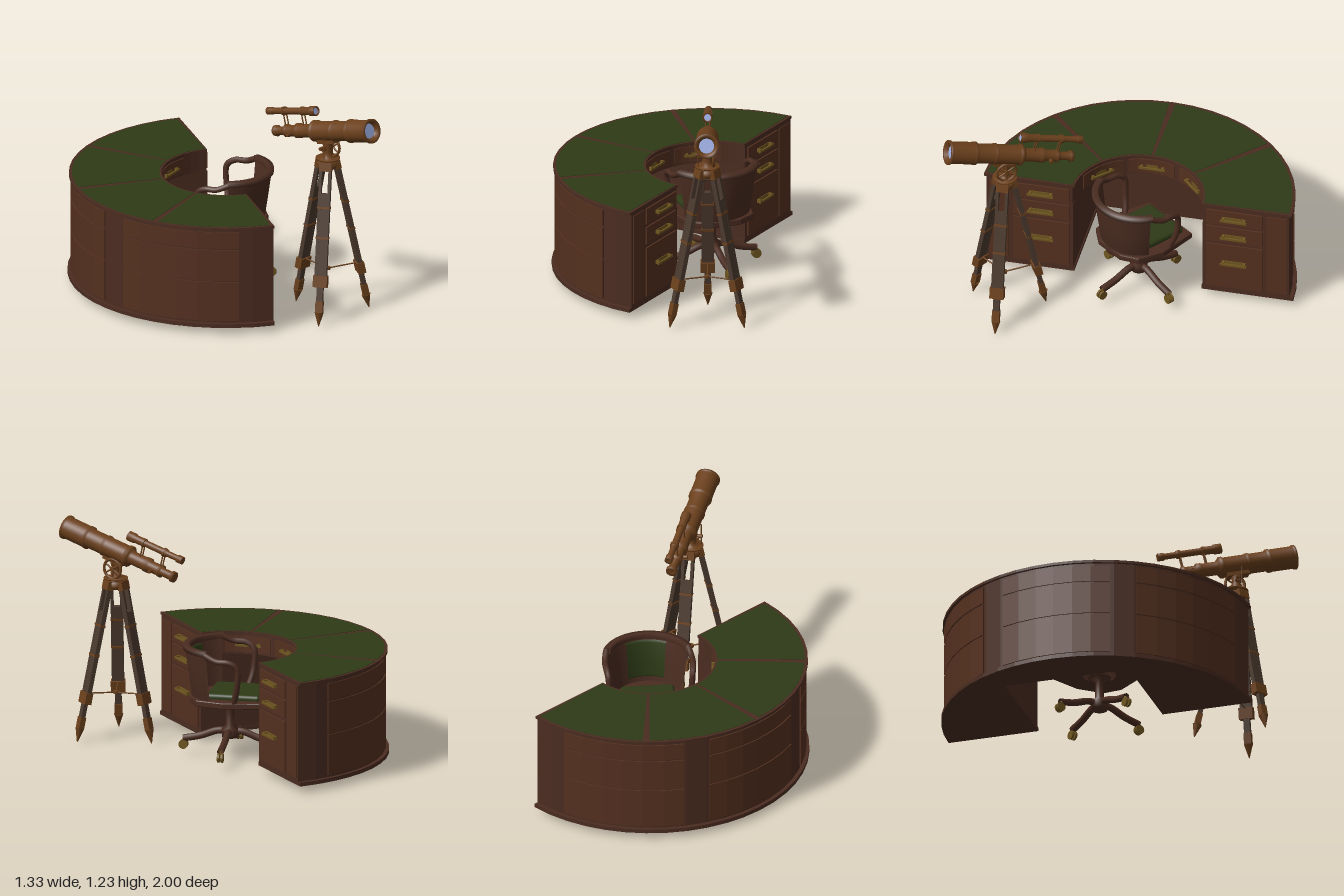
import * as THREE from 'three';
import { RoundedBoxGeometry } from 'three/addons/geometries/RoundedBoxGeometry.js';

const mat = (color) => new THREE.MeshStandardMaterial({ color, side: THREE.DoubleSide });
const WOOD = mat(0x4a2c20), PANEL = mat(0x54301f), GREEN = mat(0x2d3a16), BRASS = mat(0x6f5620);
const COPPER = mat(0x6b401c), GLASS = mat(0x9fb2e6), LEGWOOD = mat(0x4b3a2e);
const DEG = Math.PI / 180;

function add(parent, name, geometry, material, x = 0, y = 0, z = 0) {
  const m = new THREE.Mesh(geometry, material);
  m.name = name;
  m.position.set(x, y, z);
  parent.add(m);
  return m;
}
function group(parent, name, x = 0, y = 0, z = 0, ry = 0) {
  const g = new THREE.Group();
  g.name = name;
  g.position.set(x, y, z);
  g.rotation.y = ry;
  parent.add(g);
  return g;
}
const box = (w, h, d) => new THREE.BoxGeometry(w, h, d);
const cyl = (r0, r1, h, n = 20) => new THREE.CylinderGeometry(r0, r1, h, n);
const lathe = (pts, n = 32, start = 0, len = Math.PI * 2) =>
  new THREE.LatheGeometry(pts.map((p) => new THREE.Vector2(...p)), n, start, len);
const tube = (pts, r, n = 24) =>
  new THREE.TubeGeometry(new THREE.CatmullRomCurve3(pts.map((p) => new THREE.Vector3(...p))), n, r, 8);

// Thin rod between two points
function rod(parent, name, a, b, r, material) {
  const p = new THREE.Vector3(...a), q = new THREE.Vector3(...b), d = q.clone().sub(p);
  const m = add(parent, name, cyl(r, r, d.length(), 10), material);
  m.position.copy(p).add(q).multiplyScalar(0.5);
  m.quaternion.setFromUnitVectors(new THREE.Vector3(0, 1, 0), d.normalize());
}

// Plan points on an arc; angle 0 is the middle of the desk's curved back
function arc(r, a0, a1) {
  const n = Math.max(2, Math.round(Math.abs(a1 - a0) / 7.5)), pts = [];
  for (let i = 0; i <= n; i++) {
    const t = (90 + a0 + (a1 - a0) * i / n) * DEG;
    pts.push(new THREE.Vector2(r * Math.cos(t), r * Math.sin(t)));
  }
  return pts;
}
// Plan outline raised from y0 to y1
function raise(pts, y0, y1) {
  const g = new THREE.ExtrudeGeometry(new THREE.Shape(pts), { depth: y1 - y0, bevelEnabled: false });
  return g.rotateX(-Math.PI / 2).translate(0, y0, 0);
}
const sector = (r0, r1, a0, a1, y0, y1) => raise([...arc(r1, a0, a1), ...arc(r0, a1, a0)], y0, y1);
const withKneehole = (r, w, depth, y0, y1) => raise([...arc(r, -90, 90),
  ...[[-w, 0], [-w, depth], [w, depth], [w, 0]].map((p) => new THREE.Vector2(...p))], y0, y1);

function handle(parent, x, y, z) {
  const h = group(parent, 'drawerHandle', x, y, z);
  add(h, 'handlePlate', box(0.13, 0.022, 0.004), BRASS, 0, 0, 0.002);
  add(h, 'handleBar', box(0.15, 0.012, 0.01), BRASS, 0, -0.003, 0.022);
  for (const s of [-1, 1]) add(h, 'handlePost', box(0.014, 0.018, 0.024), BRASS, s * 0.06, 0, 0.012);
}

function buildDesk(root) {
  const d = group(root, 'desk', 0.215, 0, -0.115, 60 * DEG);
  add(d, 'plinth', withKneehole(0.885, 0.362, 0.62, 0.04, 0.062), WOOD);
  add(d, 'pedestalsAndBack', withKneehole(0.862, 0.368, 0.62, 0.06, 0.5), WOOD);
  add(d, 'drawerBand', sector(0.372, 0.862, -90, 90, 0.5, 0.615), WOOD);
  add(d, 'top', sector(0.362, 0.877, -90, 90, 0.615, 0.63), WOOD);
  // Leather inlays between wooden strips
  for (let i = 0; i < 4; i++)
    add(d, 'leatherInlay', sector(0.374, 0.86, -88.8 + i * 45, -46.2 + i * 45, 0.63, 0.632), GREEN);
  // Panels on the curved back
  for (const a of [-54, 0, 54]) {
    const half = a === 0 ? 21 : 23;
    for (const [y0, y1] of [[0.075, 0.305], [0.312, 0.495], [0.505, 0.6]])
      add(d, 'backPanel', sector(0.85, 0.869, a - half, a + half, y0, y1), PANEL);
  }
  // Pedestal drawers on the straight ends
  for (const s of [-1, 1]) {
    for (const [y0, y1, hy] of [[0.08, 0.37, 0.255], [0.39, 0.492, 0.435], [0.508, 0.602, 0.555]]) {
      add(d, 'pedestalDrawer', box(0.32, y1 - y0, 0.014), PANEL, s * 0.55, (y0 + y1) / 2, 0.003);
      handle(d, s * 0.55, hy, 0.01);
    }
    add(d, 'endStile', box(0.11, 0.522, 0.01), PANEL, s * 0.79, 0.341, 0.001);
  }
  // Drawers round the inner curve
  for (const a of [-47, 0, 47]) {
    add(d, 'kneeholeDrawer', sector(0.366, 0.38, a - 21, a + 21, 0.512, 0.602), PANEL);
    handle(group(d, 'handlePivot', 0, 0, 0, a * DEG), 0, 0.557, -0.368);
  }
}

function buildChair(root) {
  const c = group(root, 'chair', 0.22, 0, -0.12, 22 * DEG);
  // Four-legged swivel base on casters
  for (let i = 0; i < 4; i++) {
    const l = group(c, 'baseLeg', 0, 0, 0, i * Math.PI / 2);
    const curve = tube([[0, 0.155, 0], [0, 0.155, 0.07], [0, 0.12, 0.17], [0, 0.1, 0.265]], 0.02);
    add(l, 'legBar', curve, WOOD);
    add(l, 'casterStem', cyl(0.008, 0.008, 0.04, 8), BRASS, 0, 0.085, 0.255);
    for (const s of [-1, 1])
      add(l, 'casterWheel', cyl(0.026, 0.026, 0.012, 16).rotateZ(Math.PI / 2), BRASS, s * 0.01, 0.066, 0.265);
  }
  add(c, 'column', lathe([[0, 0.12], [0.045, 0.12], [0.05, 0.17], [0.025, 0.19], [0.022, 0.29], [0.06, 0.31], [0.1, 0.335], [0, 0.335]]), WOOD);
  // Seat with cushion
  const seat = new THREE.Shape([[-0.18, 0.22], [0.18, 0.22], [0.215, 0], [0.18, -0.15], [0.09, -0.205],
    [-0.09, -0.205], [-0.18, -0.15], [-0.215, 0]].map((p) => new THREE.Vector2(...p)));
  add(c, 'seatFrame', new THREE.ExtrudeGeometry(seat, { depth: 0.025, bevelSize: 0.008, bevelThickness: 0.006, bevelSegments: 2 })
    .rotateX(-Math.PI / 2), WOOD, 0, 0.338, 0);
  add(c, 'seatCushion', new RoundedBoxGeometry(0.3, 0.045, 0.31, 4, 0.02), GREEN, 0, 0.377, -0.045);
  // Wrapped backrest with padded inside
  add(c, 'backrest', lathe([[0.195, 0.365], [0.212, 0.365], [0.232, 0.5], [0.252, 0.645], [0.245, 0.657], [0.228, 0.65], [0.212, 0.5], [0.195, 0.365]],
    28, -1.15, 2.3), WOOD);
  add(c, 'backPad', lathe([[0.195, 0.4], [0.19, 0.41], [0.198, 0.5], [0.21, 0.61], [0.225, 0.62]], 16, -0.55, 1.1), GREEN);
  add(c, 'backTopRail', lathe([[0.225, 0.625], [0.262, 0.63], [0.262, 0.655], [0.23, 0.66], [0.222, 0.645], [0.225, 0.625]], 28, -1.2, 2.4), WOOD);
  for (const s of [-1, 1]) {
    const pts = [[0.195, 0.36, -0.06], [0.225, 0.46, -0.085], [0.235, 0.575, -0.085], [0.242, 0.605, -0.04], [0.243, 0.61, 0.03], [0.23, 0.64, 0.1]];
    add(c, 'armrest', tube(pts.map(([x, y, z]) => [s * x, y, z]), 0.017, 36), WOOD);
  }
}

function buildTelescope(root) {
  const t = group(root, 'telescope', 0.205, 0, 0.655);
  // Tripod
  for (const a of [60, -60, 180]) {
    const pivot = group(t, 'tripodLeg', 0, 0, 0, a * DEG);
    const leg = group(pivot, 'legParts', 0, 0.9, 0.045);
    leg.rotation.x = -0.213;
    for (const s of [-1, 1]) add(leg, 'legRail', box(0.016, 0.66, 0.026), LEGWOOD, s * 0.026, -0.34, 0);
    add(leg, 'legSlider', box(0.036, 0.66, 0.024), LEGWOOD, 0, -0.5, 0);
    add(leg, 'legHinge', box(0.07, 0.05, 0.034), COPPER, 0, -0.02, 0);
    for (const y of [-0.42, -0.25]) add(leg, 'legBand', box(0.072, 0.012, 0.032), COPPER, 0, y, 0);
    add(leg, 'legClamp', box(0.08, 0.065, 0.042), COPPER, 0, -0.665, 0);
    add(leg, 'footSocket', box(0.042, 0.07, 0.032), COPPER, 0, -0.81, 0);
    add(leg, 'footSpike', cyl(0.026, 0.002, 0.08, 8), COPPER, 0, -0.88, 0);
    rod(pivot, 'spreader', [0, 0.26, 0], [0, 0.275, 0.18], 0.004, COPPER);
  }
  add(t, 'spreaderHub', cyl(0.014, 0.014, 0.016), COPPER, 0, 0.26, 0);
  // Head and mount
  add(t, 'tripodHead', lathe([[0, 0.86], [0.05, 0.86], [0.056, 0.875], [0.056, 0.9], [0.03, 0.91], [0.068, 0.914], [0.068, 0.92],
    [0.025, 0.922], [0.03, 0.95], [0.022, 0.97], [0.03, 1.0], [0.03, 1.06]]), COPPER);
  add(t, 'gearWheel', new THREE.TorusGeometry(0.055, 0.008, 8, 32).rotateY(Math.PI / 2), COPPER, 0.035, 0.975, 0);
  for (let i = 0; i < 3; i++) {
    const c = 0.055 * Math.cos(i * 60 * DEG), s = 0.055 * Math.sin(i * 60 * DEG);
    rod(t, 'gearSpoke', [0.035, 0.975 - c, -s], [0.035, 0.975 + c, s], 0.005, COPPER);
  }
  rod(t, 'gearAxle', [-0.045, 0.975, 0], [0.045, 0.975, 0], 0.012, COPPER);
  rod(t, 'controlRod', [-0.052, 0.92, 0.02], [-0.052, 1.05, 0.02], 0.003, COPPER);
  rod(t, 'controlKnob', [-0.065, 0.985, 0.0], [-0.02, 0.985, 0.0], 0.01, COPPER);

  // Main tube, running along local y from eyepiece to objective
  const o = group(t, 'opticalTube', 0, 0.975, -0.395);
  o.rotation.x = 1.321;
  add(o, 'mainTube', lathe([[0, 0.008], [0.02, 0.008], [0.03, 0], [0.032, 0.02], [0.024, 0.025], [0.024, 0.085], [0.036, 0.088], [0.036, 0.105],
    [0.032, 0.11], [0.032, 0.17], [0.042, 0.173], [0.042, 0.2], [0.038, 0.205], [0.038, 0.29], [0.05, 0.3], [0.061, 0.31], [0.061, 0.325],
    [0.055, 0.33], [0.055, 0.46], [0.06, 0.463], [0.06, 0.478], [0.056, 0.481], [0.056, 0.58], [0.066, 0.584], [0.066, 0.6], [0.063, 0.604],
    [0.063, 0.735], [0.069, 0.738], [0.069, 0.75], [0.054, 0.75], [0.042, 0.73], [0.042, 0.72]], 36), COPPER);
  add(o, 'objectiveLens', cyl(0.044, 0.044, 0.006, 32), GLASS, 0, 0.724, 0);
  add(o, 'saddle', box(0.06, 0.13, 0.03), COPPER, 0, 0.4, 0.052);
  rod(o, 'focusKnob', [-0.055, 0.14, 0.01], [0.055, 0.14, 0.01], 0.011, COPPER);

  // Finder scope on two brackets
  const f = group(o, 'finderScope', 0, 0, -0.114);
  add(f, 'finderTube', lathe([[0, -0.02], [0.014, -0.02], [0.022, -0.026], [0.022, 0.01], [0.017, 0.014], [0.017, 0.08], [0.022, 0.083], [0.022, 0.1],
    [0.019, 0.104], [0.019, 0.24], [0.023, 0.245], [0.023, 0.3], [0.028, 0.304], [0.028, 0.345], [0.02, 0.345], [0.018, 0.335]]), COPPER);
  add(f, 'finderLens', cyl(0.02, 0.02, 0.004, 24), GLASS, 0, 0.338, 0);
  for (const y of [0.1, 0.24]) {
    add(f, 'finderRing', cyl(0.025, 0.025, 0.014), COPPER, 0, y, 0);
    for (const s of [-1, 1]) rod(f, 'finderBracket', [s * 0.012, y, 0.015], [s * 0.012, y, 0.09], 0.004, COPPER);
  }
}

export function createModel() {
  const root = new THREE.Group();
  root.name = 'studyDeskSet';
  buildDesk(root);
  buildChair(root);
  buildTelescope(root);
  return root;
}
